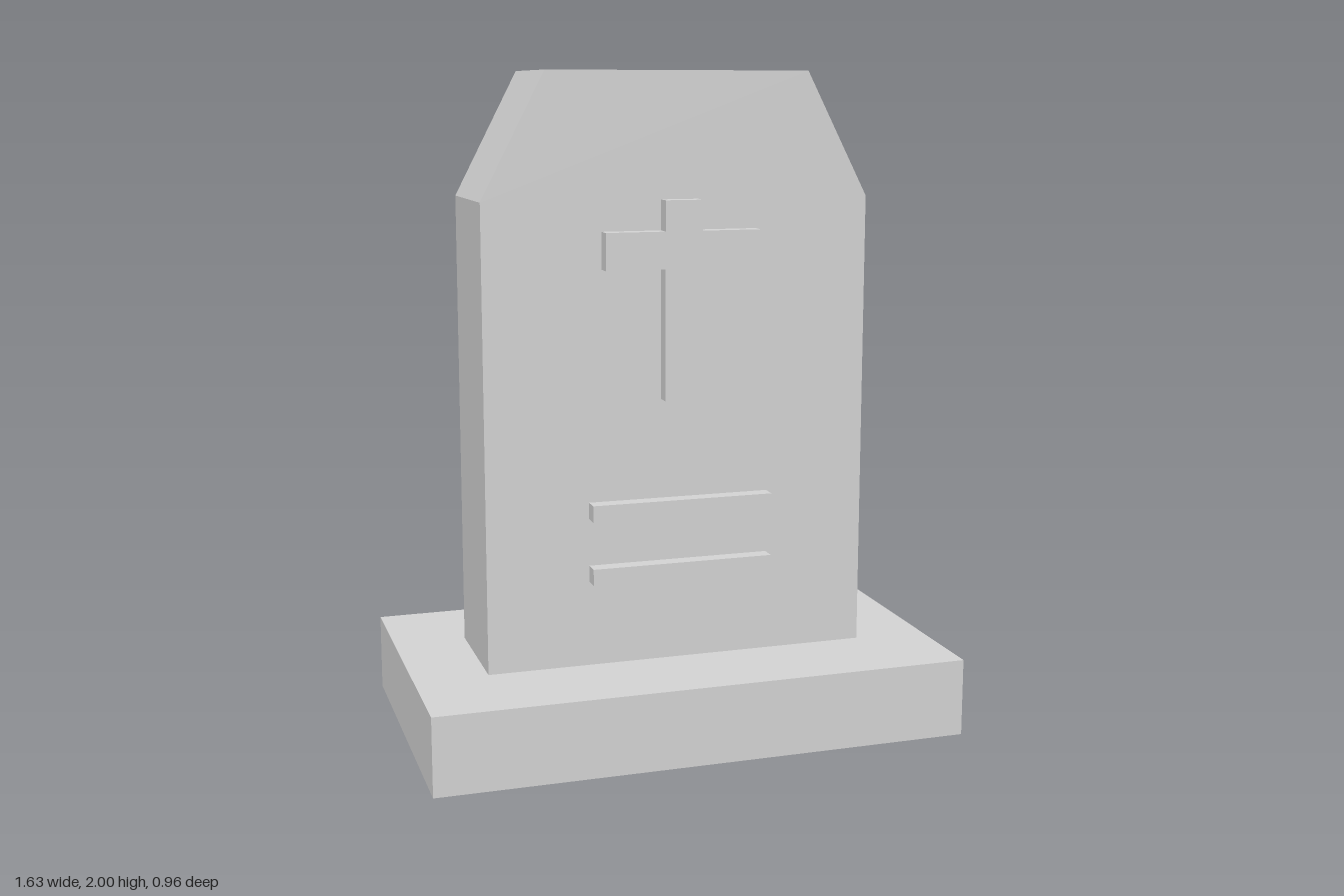
import * as THREE from 'three';

export function createModel() {
  const group = new THREE.Group();
  group.name = 'gravestone';
  const stone = new THREE.MeshStandardMaterial({ color: 0xd4d4d4 });
  stone.name = 'light grey stone';

  const add = (name, geometry, x, y, z) => {
    const mesh = new THREE.Mesh(geometry, stone);
    mesh.name = name;
    mesh.position.set(x, y, z);
    group.add(mesh);
  };

  // Extrudes a left-right symmetric outline, given as its right half from bottom to top
  const symmetric = (half, depth) => {
    const mirrored = half.map(([x, y]) => [-x, y]).reverse();
    const points = [...half, ...mirrored].map(([x, y]) => new THREE.Vector2(x, y));
    return new THREE.ExtrudeGeometry(new THREE.Shape(points), { depth, bevelEnabled: false });
  };

  // Plinth
  add('base', new THREE.BoxGeometry(1.63, 0.237, 0.965), 0, 0.1185, 0);

  // Upright slab with chamfered shoulders
  add('slab', symmetric([[0.592, 0.237], [0.592, 1.63], [0.4, 2]], 0.37), 0, 0, -0.185);

  // Raised cross
  add('cross', symmetric([
    [0.057, 1.04], [0.057, 1.43], [0.237, 1.43],
    [0.237, 1.54], [0.057, 1.54], [0.057, 1.63],
  ], 0.048), 0, 0, 0.185);

  // Raised inscription bars
  for (const [name, y] of [['upperBar', 0.714], ['lowerBar', 0.521]]) {
    add(name, new THREE.BoxGeometry(0.56, 0.05, 0.048), 0, y, 0.209);
  }

  return group;
}
